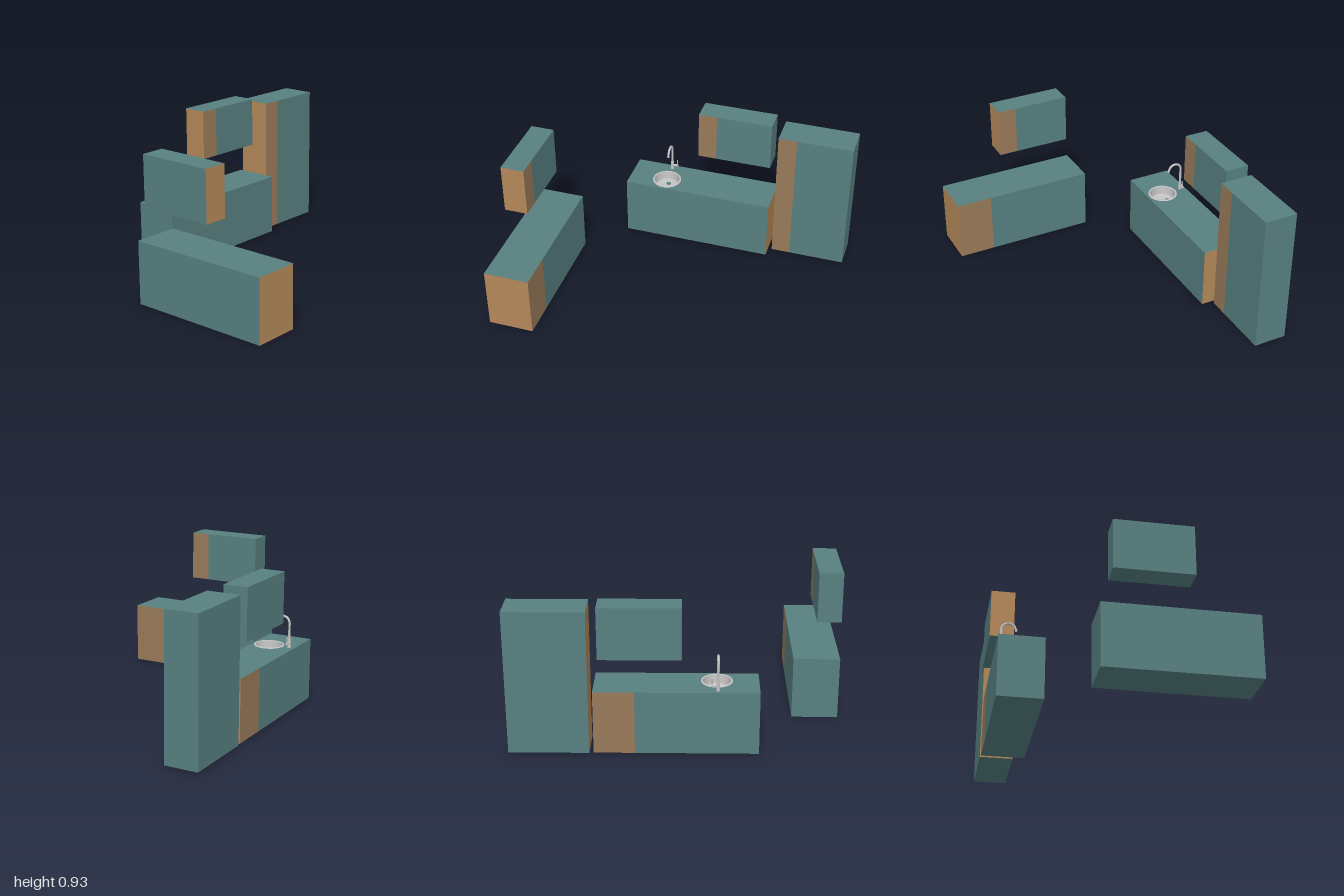
import * as THREE from 'three';

export function createModel() {
  const model = new THREE.Group();
  model.name = 'kitchen';

  const mat = (name, color, side = THREE.FrontSide) => {
    const m = new THREE.MeshStandardMaterial({ color, side });
    m.name = name;
    return m;
  };
  const teal = mat('teal', 0x588080);
  const wood = mat('wood', 0xb4885a);
  const darkWood = mat('darkWood', 0x997b5a);
  const steel = mat('steel', 0xc4c4c4, THREE.DoubleSide);

  const add = (parent, name, geometry, material, x = 0, y = 0, z = 0) => {
    const mesh = new THREE.Mesh(geometry, material);
    mesh.name = name;
    mesh.position.set(x, y, z);
    parent.add(mesh);
    return mesh;
  };

  // Cabinet: wooden end on local +z, darker strip on the last quarter of local +x
  function cabinet(name, [x0, x1], [y0, y1], [z0, z1], angle, hole) {
    const g = new THREE.Group();
    g.name = name;
    g.position.set((x0 + x1) / 2, y0, (z0 + z1) / 2);
    g.rotation.y = angle;
    const turned = Math.abs(Math.sin(angle)) > 0.5;
    const w = turned ? z1 - z0 : x1 - x0;
    const len = turned ? x1 - x0 : z1 - z0;
    const h = y1 - y0;
    const slab = hole ? hole.depth : 0;
    const bodyLen = len * 0.75;
    add(g, 'body', new THREE.BoxGeometry(w, h - slab, bodyLen), teal, 0, (h - slab) / 2, -len / 8);
    add(g, 'woodenEnd', new THREE.BoxGeometry(w, h, len / 4),
      [darkWood, teal, teal, teal, wood, teal], 0, h / 2, len * 3 / 8);
    if (hole) {
      // Worktop layer with a round cut-out; shape y runs along local -z
      const s = new THREE.Shape();
      s.moveTo(-w / 2, -len / 4);
      s.lineTo(w / 2, -len / 4);
      s.lineTo(w / 2, len / 2);
      s.lineTo(-w / 2, len / 2);
      s.closePath();
      const c = new THREE.Vector3(hole.x - g.position.x, 0, hole.z - g.position.z)
        .applyAxisAngle(new THREE.Vector3(0, 1, 0), -angle);
      s.holes.push(new THREE.Path().absarc(c.x, -c.z, hole.r, 0, Math.PI * 2, true));
      const geo = new THREE.ExtrudeGeometry(s, { depth: slab, bevelEnabled: false, curveSegments: 24 });
      geo.rotateX(-Math.PI / 2);
      add(g, 'worktop', geo, teal, 0, h - slab, 0);
    }
    model.add(g);
  }

  const sink = { x: -0.542, z: 0.231, r: 0.087, depth: 0.1 };
  cabinet('tallCabinet', [-0.718, -0.506], [0.01, 0.9], [-1, -0.52], 0);
  cabinet('leftWallCabinet', [-0.73, -0.578], [0.614, 0.932], [-0.46, 0.025], 0);
  cabinet('sinkCabinet', [-0.713, -0.434], [0.01, 0.403], [-0.495, 0.481], Math.PI, sink);
  cabinet('frontCounter', [-0.2, 0.725], [0, 0.396], [0.707, 0.995], Math.PI / 2);
  cabinet('frontWallCabinet', [-0.13, 0.352], [0.614, 0.932], [0.85, 1], Math.PI / 2);

  // Round basin with a flat rim
  const basin = [[0.0, -0.06], [0.07, -0.06], [0.077, -0.055], [0.08, -0.045], [0.082, 0.002],
    [0.084, 0.005], [0.093, 0.005], [0.095, 0]].map(([r, y]) => new THREE.Vector2(r, y));
  add(model, 'basin', new THREE.LatheGeometry(basin, 40), steel, sink.x, 0.403, sink.z);
  add(model, 'drain', new THREE.CylinderGeometry(0.015, 0.015, 0.004, 20), teal, -0.578, 0.345, sink.z);

  // Tap: base, swan-neck spout and side lever
  const tap = new THREE.Group();
  tap.name = 'tap';
  tap.position.set(-0.676, 0.403, 0.236);
  model.add(tap);
  add(tap, 'tapBase', new THREE.CylinderGeometry(0.01, 0.012, 0.055, 20), steel, 0, 0.0275, 0);
  const neck = [[0, 0.04], [0, 0.09], [0, 0.14]].map(([x, y]) => new THREE.Vector3(x, y, 0));
  for (let i = 0; i <= 8; i++) {
    const a = Math.PI * (1 - 0.92 * i / 8);
    neck.push(new THREE.Vector3(0.044 + 0.044 * Math.cos(a), 0.153 + 0.044 * Math.sin(a), 0));
  }
  neck.push(new THREE.Vector3(0.092, 0.148, 0));
  add(tap, 'spout', new THREE.TubeGeometry(new THREE.CatmullRomCurve3(neck), 48, 0.0075, 14), steel);
  const pivot = add(tap, 'leverPivot', new THREE.CylinderGeometry(0.008, 0.008, 0.042, 16), steel, 0, 0.03, -0.019);
  pivot.rotation.x = Math.PI / 2;
  add(tap, 'lever', new THREE.CylinderGeometry(0.003, 0.003, 0.05, 10), steel, 0, 0.05, -0.035);

  return model;
}
